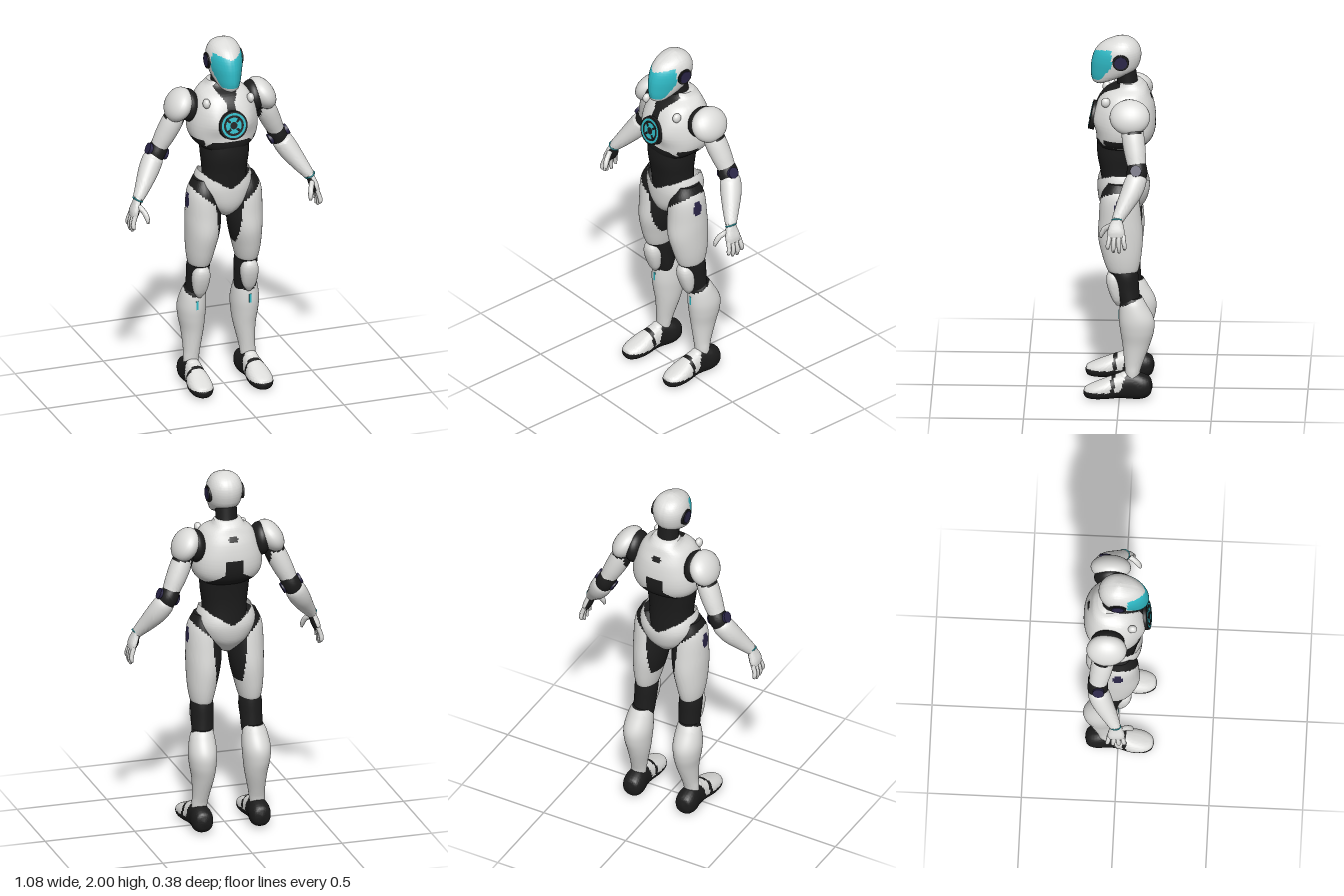
import * as THREE from 'three';
import { toCreasedNormals } from 'three/addons/utils/BufferGeometryUtils.js';

const mat = (name, color) => new THREE.MeshStandardMaterial({ name, color, side: THREE.DoubleSide });
const WHITE = 0, BLACK = 1, TEAL = 2, PURPLE = 3, NONE = -1;

export function createModel() {
  const model = new THREE.Group();
  model.name = 'armouredFigure';
  const palette = [mat('white shell', 0xdcdcda), mat('black underlayer', 0x1c1c1c),
    mat('teal glass', 0x2fbac6), mat('dark purple joint', 0x2a2547)];

  // Smooth skin over sections [x, y, z, radius across, radius deep].
  // paint(|x|, y, z) picks a colour per face; warp(p) reshapes points; level keeps rings horizontal.
  function loft(name, sections, paint, { n = 32, steps = 28, pow = 2, level = false, warp, parent = model } = {}) {
    const path = new THREE.CatmullRomCurve3(sections.map(s => new THREE.Vector3(s[0], s[1], s[2])), false, 'catmullrom');
    const size = new THREE.CatmullRomCurve3(sections.map(s => new THREE.Vector3(s[3], s[4], 0)), false, 'catmullrom');
    const pos = [], buckets = [[], [], [], []], p = new THREE.Vector3();
    const bend = v => Math.sign(v) * Math.abs(v) ** (2 / pow);
    for (let i = -1; i <= steps + 1; i++) {
      const k = THREE.MathUtils.clamp(i / steps, 0, 1);
      const c = path.getPoint(k), r = size.getPoint(k), t = path.getTangent(k);
      if (level) t.set(0, Math.sign(t.y), 0);
      const u = new THREE.Vector3(1, 0, 0).addScaledVector(t, -t.x).normalize();
      const v = new THREE.Vector3().crossVectors(t, u);
      const cap = i < 0 || i > steps ? 0 : 1;
      for (let j = 0; j < n; j++) {
        const a = j / n * Math.PI * 2;
        p.copy(c).addScaledVector(u, cap * Math.max(r.x, 0.001) * bend(Math.cos(a)))
          .addScaledVector(v, cap * Math.max(r.y, 0.001) * bend(Math.sin(a)));
        if (warp) warp(p, c, r);
        pos.push(p.x, p.y, p.z);
      }
    }
    const mid = (a, b, k) => (pos[a * 3 + k] + pos[b * 3 + k]) / 2;
    for (let i = 0; i < steps + 2; i++) for (let j = 0; j < n; j++) {
      const a = i * n + j, b = i * n + (j + 1) % n, a2 = a + n, b2 = b + n;
      const colour = typeof paint === 'number' ? paint : paint(Math.abs(mid(a, b2, 0)), mid(a, b2, 1), mid(a, b2, 2));
      if (colour === NONE) continue;
      if (i > 0) buckets[colour].push(a, b, a2);
      if (i <= steps) buckets[colour].push(b, b2, a2);
    }
    const g = new THREE.BufferGeometry();
    g.setAttribute('position', new THREE.Float32BufferAttribute(pos, 3));
    g.setIndex(buckets.flat());
    let start = 0;
    buckets.forEach((b, k) => { if (b.length) g.addGroup(start, b.length, k); start += b.length; });
    return put(name, toCreasedNormals(g, 1), palette, parent);
  }
  function put(name, geometry, material, parent = model) {
    const m = new THREE.Mesh(geometry, material);
    m.name = name;
    parent.add(m);
    return m;
  }
  function ball(name, colour, [x, y, z], [a, b, c], parent = model, tilt = [0, 0, 0]) {
    const m = put(name, new THREE.SphereGeometry(1, 28, 18), palette[colour], parent);
    m.position.set(x, y, z); m.scale.set(a, b, c); m.rotation.set(...tilt);
  }
  // Section from front and back depth instead of centre and radius
  const ring = (x, y, rx, front, back) => [x, y, (front + back) / 2, rx, (front - back) / 2];

  // Helmet with visor
  loft('helmet', [ring(0, 1.735, 0.018, 0.13, 0.085), ring(0, 1.75, 0.045, 0.147, 0.06), ring(0, 1.78, 0.066, 0.156, -0.02),
    ring(0, 1.82, 0.082, 0.157, -0.085), ring(0, 1.87, 0.092, 0.152, -0.108), ring(0, 1.92, 0.092, 0.135, -0.11),
    ring(0, 1.96, 0.077, 0.1, -0.092), ring(0, 1.985, 0.052, 0.05, -0.06), ring(0, 2, 0.012, 0.01, -0.015)],
  (x, y, z) => z > 0.045 + Math.max(0, 1.85 - y) * 0.75 && y > 1.765 && y < 1.92 + x * 0.3 ? TEAL : WHITE,
  { n: 80, steps: 64, level: true, warp: (p, c, r) => { p.x *= 1 - 0.15 * (p.z - c.z) / Math.max(r.y, 0.01); } });
  for (const s of [-1, 1]) [['earRim', BLACK, 0.044, 0.083], ['earDisc', PURPLE, 0.034, 0.087]].forEach(([name, colour, r, x]) => {
    const ear = put(name, new THREE.CylinderGeometry(r, r, 0.03, 32), palette[colour]);
    ear.rotation.z = Math.PI / 2;
    ear.position.set(s * x, 1.88, -0.005);
  });
  loft('neck', [[0, 1.64, -0.045, 0.075, 0.07], [0, 1.73, -0.04, 0.06, 0.056], [0, 1.85, -0.02, 0.058, 0.058]], BLACK, { level: true });

  // Chest shell with pectorals, throat strip, side vents and spine channel
  const chestPaint = (x, y, z) => {
    if (z > -0.03) {
      if (z > 0 && y > 1.56 && x < 0.021 + Math.max(0, y - 1.66) * 0.65) return BLACK;
      if (y < 1.45 - Math.max(0, x - 0.1) * 0.9) return BLACK;
      return y > 1.412 && y < 1.458 && z < 0.085 && x > 0.135 ? BLACK : WHITE;
    }
    if (Math.hypot(x / 0.028, (y - 1.665) / 0.017) < 1) return BLACK;
    return z < -0.06 && ((x < 0.045 && y < 1.55) || y < 1.5 - x * 0.6) ? BLACK : WHITE;
  };
  loft('chest', [ring(0, 1.395, 0.13, 0.118, -0.12), ring(0, 1.43, 0.168, 0.127, -0.165), ring(0, 1.48, 0.188, 0.127, -0.186),
    ring(0, 1.55, 0.187, 0.13, -0.19), ring(0, 1.63, 0.165, 0.122, -0.178), ring(0, 1.69, 0.135, 0.085, -0.155),
    ring(0, 1.725, 0.09, 0.025, -0.14), ring(0, 1.75, 0.074, 0.005, -0.115)], chestPaint,
  { n: 120, steps: 70, pow: 2.35, level: true, warp: p => {
    if (p.z > 0) p.z += 0.02 * Math.exp(-(((Math.abs(p.x) - 0.085) / 0.055) ** 2) - ((p.y - 1.55) / 0.07) ** 2);
  } });
  for (const s of [-1, 1]) ball('chestStud', WHITE, [s * 0.125, 1.665, 0.075], [0.02, 0.027, 0.025]);
  loft('abdomen', [ring(0, 1.12, 0.12, 0.09, -0.1), ring(0, 1.25, 0.12, 0.108, -0.1), ring(0, 1.35, 0.13, 0.124, -0.11),
    ring(0, 1.46, 0.135, 0.12, -0.13)], BLACK, { level: true, pow: 2.3 });

  // Round chest light
  const light = new THREE.Group();
  light.name = 'chestLight';
  light.position.set(0, 1.55, 0.142);
  light.rotation.x = -0.2;
  model.add(light);
  put('lightHousing', new THREE.CylinderGeometry(0.078, 0.08, 0.03, 48).rotateX(Math.PI / 2), palette[BLACK], light);
  put('outerLightRing', new THREE.RingGeometry(0.056, 0.068, 48), palette[TEAL], light).position.z = 0.017;
  put('innerLightRing', new THREE.RingGeometry(0.02, 0.044, 40), palette[TEAL], light).position.z = 0.017;
  for (let i = 0; i < 4; i++) {
    const spoke = put('lightSpoke', new THREE.BoxGeometry(0.012, 0.03, 0.003).translate(0, 0.04, 0.017), palette[BLACK], light);
    spoke.rotation.z = Math.PI / 4 + i * Math.PI / 2;
  }

  // Pelvis shell: a belt rising at the hips and dipping to the crotch
  loft('pelvis', [ring(0, 0.995, 0.03, 0.06, -0.07), ring(0, 1.03, 0.075, 0.095, -0.105), ring(0, 1.08, 0.125, 0.115, -0.14),
    ring(0, 1.15, 0.157, 0.122, -0.157), ring(0, 1.21, 0.154, 0.118, -0.147), ring(0, 1.28, 0.125, 0.105, -0.11)],
  (x, y) => y > 1.17 + x * 0.6 ? NONE : y < 1.0 + Math.max(0, x - 0.04) * 1.5 ? BLACK : WHITE,
  { n: 88, steps: 60, level: true, pow: 2.2 });

  for (const s of [-1, 1]) {
    const limb = name => { const g = new THREE.Group(); g.name = (s > 0 ? 'left' : 'right') + name; model.add(g); return g; };
    const side = list => list.map(([x, ...rest]) => [s * x, ...rest]);

    // Leg
    const leg = limb('Leg');
    loft('thigh', side([[0.125, 1.21, -0.005, 0.045, 0.065], [0.12, 1.13, 0, 0.085, 0.1], [0.117, 1.0, -0.003, 0.095, 0.114],
      [0.121, 0.9, -0.005, 0.09, 0.119], [0.13, 0.8, -0.012, 0.076, 0.104], [0.134, 0.73, -0.017, 0.062, 0.086], [0.134, 0.7, -0.02, 0.05, 0.07]]),
    (x, y, z) => {
      if (x > 0.16 && Math.hypot((y - 1.09) / 0.045, z / 0.027) < 1) return PURPLE;
      if (y > 1.05 + (x - 0.05) * 0.85 || y < 0.715) return BLACK;
      return y > 0.82 && x < 0.055 + Math.max(0, y - 0.85) * 0.1 + (z < 0 ? 0.02 : 0) ? BLACK : WHITE;
    }, { n: 72, steps: 56, level: true, parent: leg });
    loft('kneeJoint', side([[0.14, 0.48, -0.07, 0.05, 0.05], [0.138, 0.54, -0.055, 0.058, 0.055], [0.136, 0.62, -0.04, 0.06, 0.064],
      [0.135, 0.69, -0.03, 0.062, 0.07], [0.134, 0.74, -0.02, 0.055, 0.075]]), BLACK, { level: true, parent: leg });
    loft('kneecap', side([[0.14, 0.52, 0.005, 0.012, 0.012], [0.139, 0.56, 0.012, 0.036, 0.03], [0.137, 0.63, 0.02, 0.048, 0.046],
      [0.136, 0.68, 0.025, 0.044, 0.045], [0.135, 0.715, 0.03, 0.024, 0.025]]), WHITE, { level: true, pow: 2.4, parent: leg });
    loft('shin', side([[0.163, 0.1, -0.068, 0.038, 0.036], [0.16, 0.15, -0.07, 0.043, 0.04], [0.155, 0.2, -0.076, 0.046, 0.05],
      [0.148, 0.3, -0.089, 0.06, 0.073], [0.15, 0.38, -0.094, 0.072, 0.09], [0.15, 0.45, -0.09, 0.076, 0.093],
      [0.146, 0.53, -0.072, 0.066, 0.07], [0.142, 0.57, -0.068, 0.052, 0.052]]),
    (x, y, z) => y > 0.52 - z * 0.5 || y < 0.125 ? BLACK : WHITE, { level: true, n: 40, steps: 48, parent: leg });
    const plate = put('shinLight', new THREE.BoxGeometry(0.012, 0.05, 0.008), palette[TEAL], leg);
    plate.position.set(s * 0.15, 0.47, 0);

    // Shoe: black sole and heel, white upper with a strap
    loft('shoe', side([[0.16, 0.07, -0.175, 0.012, 0.015], [0.16, 0.07, -0.16, 0.045, 0.05], [0.161, 0.07, -0.115, 0.058, 0.07],
      [0.163, 0.075, -0.05, 0.05, 0.075], [0.165, 0.068, 0.01, 0.053, 0.065], [0.168, 0.052, 0.08, 0.065, 0.052],
      [0.17, 0.04, 0.14, 0.06, 0.04], [0.17, 0.035, 0.178, 0.038, 0.028], [0.17, 0.034, 0.19, 0.012, 0.01]]),
    (x, y, z) => z < -0.02 + (0.1 - y) * 0.3 || y < 0.048 || Math.abs(z - 0.035) < 0.01 ? BLACK : WHITE,
    { n: 56, steps: 56, pow: 2.3, parent: leg, warp: p => { p.y = Math.max(0, p.y); } });
    ball('ankleGuard', WHITE, [s * 0.164, 0.125, -0.025], [0.036, 0.025, 0.035], leg, [0.4, 0, 0]);

    // Arm
    const arm = limb('Arm');
    ball('shoulderJoint', BLACK, [s * 0.18, 1.615, -0.055], [0.055, 0.09, 0.09], arm);
    ball('shoulderPad', WHITE, [s * 0.236, 1.625, -0.058], [0.064, 0.096, 0.108], arm, [0, 0, s * 0.55]);
    loft('upperArm', side([[0.22, 1.62, -0.065, 0.045, 0.05], [0.262, 1.53, -0.075, 0.056, 0.06], [0.297, 1.455, -0.087, 0.054, 0.058],
      [0.328, 1.39, -0.097, 0.046, 0.05]]), (x, y) => y > 1.555 || x < 0.225 ? BLACK : WHITE, { parent: arm });
    loft('elbow', side([[0.32, 1.4, -0.097, 0.045, 0.048], [0.343, 1.355, -0.1, 0.051, 0.055], [0.365, 1.31, -0.095, 0.045, 0.05]]),
      BLACK, { steps: 20, parent: arm });
    const pin = put('elbowPin', new THREE.CylinderGeometry(0.03, 0.03, 0.116, 28).rotateZ(Math.PI / 2), palette[PURPLE], arm);
    pin.position.set(s * 0.344, 1.355, -0.095);
    pin.rotation.z = s * 0.45;
    loft('forearm', side([[0.356, 1.335, -0.097, 0.047, 0.05], [0.37, 1.31, -0.093, 0.056, 0.058], [0.4, 1.26, -0.072, 0.055, 0.057],
      [0.44, 1.2, -0.038, 0.044, 0.046], [0.474, 1.152, -0.01, 0.033, 0.035], [0.486, 1.135, -0.002, 0.029, 0.031]]), WHITE, { parent: arm });
    const cuff = put('wristLight', new THREE.TorusGeometry(0.028, 0.004, 8, 32).rotateX(Math.PI / 2), palette[TEAL], arm);
    cuff.position.set(s * 0.487, 1.135, 0);
    cuff.rotation.z = s * 0.5;

    // Hand: white back, black palm, fingers and thumb
    loft('palm', side([[0.484, 1.15, -0.002, 0.02, 0.022], [0.495, 1.115, 0.003, 0.021, 0.035], [0.509, 1.075, 0.006, 0.022, 0.046],
      [0.517, 1.045, 0.006, 0.017, 0.043]]), (x, y) => y < 1.13 && x < 0.479 + (1.15 - y) * 0.33 ? BLACK : WHITE,
    { pow: 2.4, parent: arm });
    [0.985, 0.965, 0.962, 0.98].forEach((tip, i) => {
      const z = 0.04 - i * 0.024, spread = z * 1.25;
      loft('finger', side([[0.513, 1.06, z, 0.012, 0.012], [0.526, 1.025, z * 1.1, 0.0125, 0.0125],
        [0.53, (tip + 1.015) / 2, spread, 0.0115, 0.0115], [0.525, tip, spread, 0.007, 0.007]]), WHITE, { n: 14, steps: 12, parent: arm });
    });
    loft('thumb', side([[0.49, 1.105, 0.03, 0.014, 0.015], [0.472, 1.08, 0.065, 0.014, 0.015], [0.463, 1.05, 0.083, 0.013, 0.013],
      [0.46, 1.025, 0.09, 0.007, 0.007]]), WHITE, { n: 14, steps: 12, parent: arm });
  }
  return model;
}
